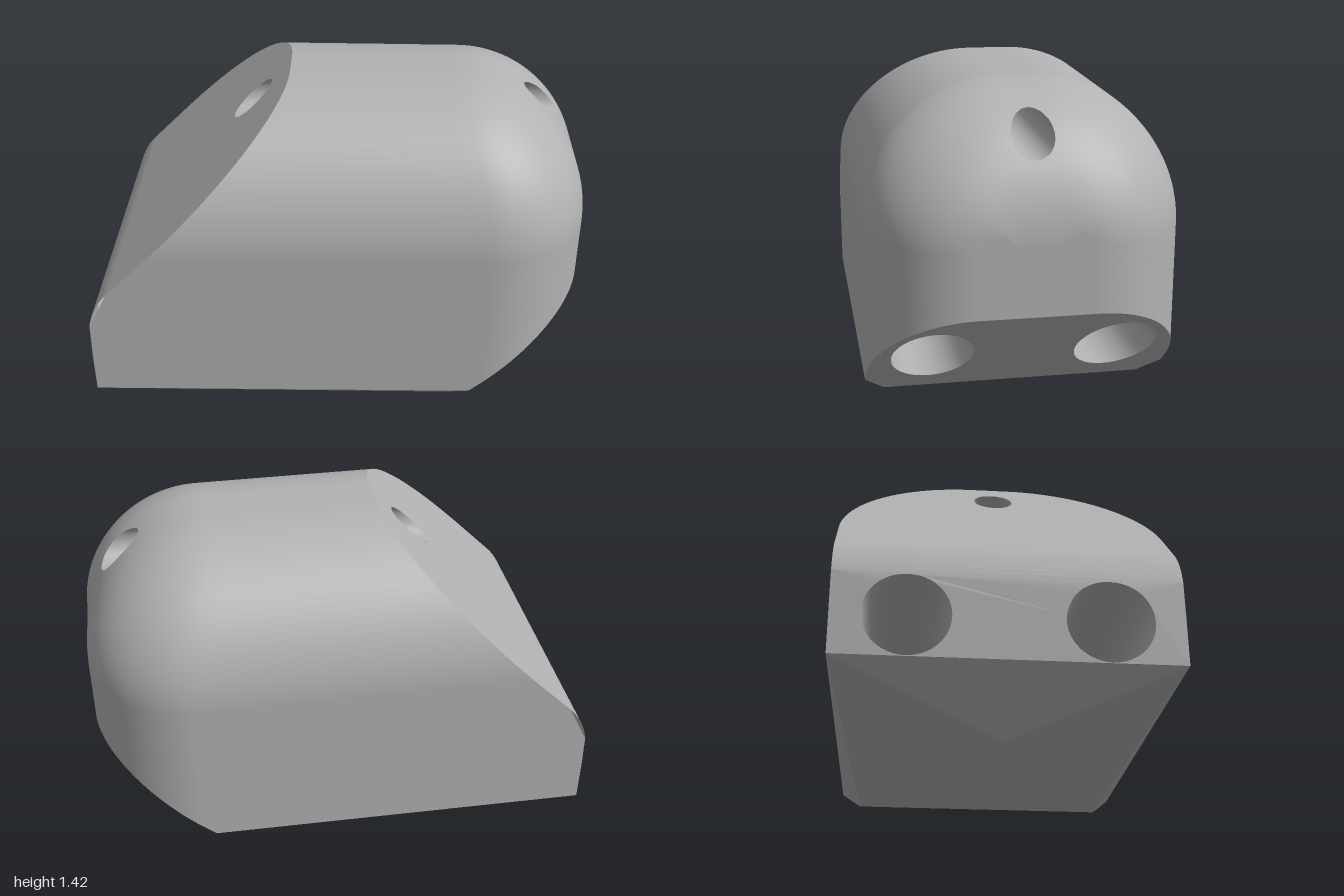
import * as THREE from 'three';
import { mergeVertices } from 'three/addons/utils/BufferGeometryUtils.js';

const V = (x, y, z) => new THREE.Vector3(x, y, z);
const lerp = THREE.MathUtils.lerp;

// Section: vertical walls, round shoulders (radius R around y = CY, z = +-CZ) and a narrow flat top
const R = 0.55, CY = 0.87, CZ = 0.08, W = R + CZ;
const taper = x => 1 - 0.02 * (x + 1);
const chamferX = y => 0.46 + (y - 0.14) * 1.125;
const lowerY = x => Math.max(0.22, 0.14 + (x - 0.46) / 1.125);
const filletR = phi => 0.4 + 0.13 * Math.sin(phi) ** 2;

// Sloped end: vertical foot, small round, 45 degree slope
const BEND0 = 0.496, BEND1 = 0.708;
function slopeX(y) {
  if (y < BEND0) return -1;
  if (y > BEND1) return y - 1.62;
  return -0.7 - Math.sqrt(0.09 - (y - BEND0) ** 2);
}

// Rounded end: x on the fillet for a given y, z
function domeX(y, z) {
  const dz = Math.max(Math.abs(z / taper(0.9)) - CZ, 0), dy = y - CY;
  const r = filletR(Math.atan2(dy, dz));
  const c = THREE.MathUtils.clamp(1 - (R - Math.hypot(dy, dz)) / r, 0, 1);
  return 1 - r + r * Math.sqrt(1 - c * c);
}

const topHole = { y: 1.26, z: 0, r: 0.08, endX: domeX };
const bigHoles = [1, -1].map(s => ({ y: 0.382, z: 0.36 * s, r: 0.159, endX: chamferX }));

function circle(h, n = 48) {
  return Array.from({ length: n }, (_, i) => {
    const a = (i / n) * Math.PI * 2;
    return new THREE.Vector2(h.z + h.r * Math.cos(a), h.y + h.r * Math.sin(a));
  });
}

// Mesh from triangles, each turned away from a centre (or towards it for bores)
function trianglesMesh(name, tris, mat, smooth, centre = V(0, 0.7, 0), inward = false) {
  const pts = [];
  for (const [a, b, c] of tris) {
    const n = b.clone().sub(a).cross(c.clone().sub(a));
    if (n.length() < 1e-9) continue;
    const mid = a.clone().add(b).add(c).divideScalar(3);
    if (inward) centre = V(mid.x, centre.y, centre.z);
    const out = n.dot(mid.sub(centre)) > 0;
    pts.push(...(out !== inward ? [a, b, c] : [a, c, b]));
  }
  let geo = new THREE.BufferGeometry().setFromPoints(pts);
  if (smooth) geo = mergeVertices(geo, 1e-5);
  geo.computeVertexNormals();
  const mesh = new THREE.Mesh(geo, mat);
  mesh.name = name;
  return mesh;
}

// Panel outlined in (z, y), placed at x(y)
function panelTris(outline, holes, xAt) {
  const all = [outline, ...holes].flat();
  const p = all.map(v => V(xAt(v.y), v.y, v.x));
  return THREE.ShapeUtils.triangulateShape(outline, holes).map(f => f.map(i => p[i]));
}
const v2 = (z, y) => new THREE.Vector2(z, y);
const mirrored = half => [...half, ...half.filter(p => p.x > 1e-6).map(p => v2(-p.x, p.y)).reverse()];

function gridTris(rows) {
  const tris = [];
  for (let i = 0; i + 1 < rows.length; i++)
    for (let j = 0; j + 1 < rows[i].length; j++) {
      const a = rows[i][j], b = rows[i + 1][j], c = rows[i + 1][j + 1], d = rows[i][j + 1];
      tris.push([a, b, c], [a, c, d]);
    }
  return tris;
}

// Columns running lengthwise around the section, from one wall foot to the other
function sectionColumns() {
  const half = [];
  for (let t = 0; t < 4; t++) half.push({ t: t / 4, phi: 0, zc: CZ, s: 1 });
  for (let k = 0; k <= 28; k++) half.push({ t: 1, phi: (k / 28) * Math.PI / 2, zc: CZ, s: 1 });
  for (let k = 1; k <= 4; k++) half.push({ t: 1, phi: Math.PI / 2, zc: CZ * (1 - k / 4), s: 1 });
  return [...half, ...half.slice(0, -1).map(c => ({ ...c, s: -1 })).reverse()];
}
function sectionPoint(c, x, inset) {
  const r = R - inset;
  const y = c.t < 1 ? lerp(lowerY(x), CY, c.t) : CY + r * Math.sin(c.phi);
  return V(x, y, c.s * (c.zc + r * Math.cos(c.phi)) * taper(x));
}

export function createModel() {
  const group = new THREE.Group();
  group.name = 'body';
  const grey = new THREE.MeshStandardMaterial({ color: 0xb2b2b2, side: THREE.DoubleSide });
  grey.name = 'plain grey';

  // Shell: long straight sides followed by the rounded end
  const STEPS = 32;
  const rows = sectionColumns().map(c => {
    const r = filletR(c.phi), x1 = 1 - r;
    const row = [sectionPoint(c, slopeX(sectionPoint(c, -1, 0).y), 0), sectionPoint(c, x1 - 0.05, 0)];
    for (let k = 0; k <= STEPS; k++) {
      const a = (k / STEPS) * Math.PI / 2;
      row.push(sectionPoint(c, x1 + r * Math.sin(a), r * (1 - Math.cos(a))));
    }
    return row;
  });
  const endOutline = rows.map(row => v2(row.at(-1).z, row.at(-1).y));

  // Open the top bore in the rounded end by moving inner points onto its rim
  const inside = new Set();
  for (const p of rows.flat()) {
    const dy = p.y - topHole.y, dz = p.z - topHole.z, d = Math.hypot(dy, dz);
    if (p.x < 0.4 || d >= topHole.r) continue;
    inside.add(p);
    const k = topHole.r / Math.max(d, 1e-6);
    p.y = topHole.y + dy * k;
    p.z = topHole.z + dz * k;
    p.x = domeX(p.y, p.z);
  }
  const shell = gridTris(rows).filter(t => !t.every(p => inside.has(p)));
  group.add(trianglesMesh('shell', shell, grey, true));
  group.add(trianglesMesh('endFace', panelTris(endOutline, [], () => 1), grey, false));

  // Sloped end: foot panel, bend and slope
  const SPLIT = 0.55;
  const wallZ = y => W * taper(slopeX(y));
  const foot = mirrored([v2(W, 0.22), v2(W, 0.4), v2(wallZ(SPLIT), SPLIT)]);
  group.add(trianglesMesh('footPanel', panelTris(foot, bigHoles.map(h => circle(h)), slopeX), grey, false));
  const bend = [];
  for (let k = 0; k <= 8; k++) {
    const y = lerp(SPLIT, BEND1, k / 8);
    bend.push([1, -1].map(s => V(slopeX(y), y, s * wallZ(y))));
  }
  group.add(trianglesMesh('bend', gridTris(bend), grey, true));
  const slope = [v2(wallZ(BEND1), BEND1)];
  for (let k = 0; k <= 28; k++) {
    const a = (k / 28) * Math.PI / 2, y = CY + R * Math.sin(a);
    slope.push(v2((CZ + R * Math.cos(a)) * taper(slopeX(y)), y));
  }
  group.add(trianglesMesh('slopePanel', panelTris(mirrored(slope), [circle(topHole)], slopeX), grey, false));

  // Chamfer below the rounded end
  const chamfer = [v2(0.53, 0.14), v2(W * taper(0.55), 0.22)];
  for (let k = 0; k <= 24; k++) {
    const a = (k / 24) * Math.PI / 2, x = 0.6 + 0.4 * Math.sin(a);
    chamfer.push(v2((W - 0.4 * (1 - Math.cos(a))) * taper(x), lowerY(x)));
  }
  group.add(trianglesMesh('chamferPanel',
    panelTris(mirrored(chamfer), bigHoles.map(h => circle(h)), chamferX), grey, false));

  // Faceted underside meeting at one low point
  const tip = V(-0.78, 0, 0), under = [];
  const A = s => V(-1, 0.22, s * W), B = s => V(0.46, 0.14, s * 0.53);
  const C = s => V(0.55, 0.22, s * W * taper(0.55));
  under.push([A(1), A(-1), tip], [tip, B(1), B(-1)]);
  for (const s of [1, -1]) under.push([A(s), tip, B(s)], [A(s), B(s), C(s)]);
  group.add(trianglesMesh('underside', under, grey, false));

  // Bores running the whole length
  for (const h of [topHole, ...bigHoles]) {
    const ring = circle(h);
    ring.push(ring[0]);
    const walls = ring.map(p => [V(slopeX(p.y), p.y, p.x), V(h.endX(p.y, p.x), p.y, p.x)]);
    const name = h === topHole ? 'topBore' : h.z > 0 ? 'leftBore' : 'rightBore';
    group.add(trianglesMesh(name, gridTris(walls), grey, true, V(0, h.y, h.z), true));
  }
  return group;
}
